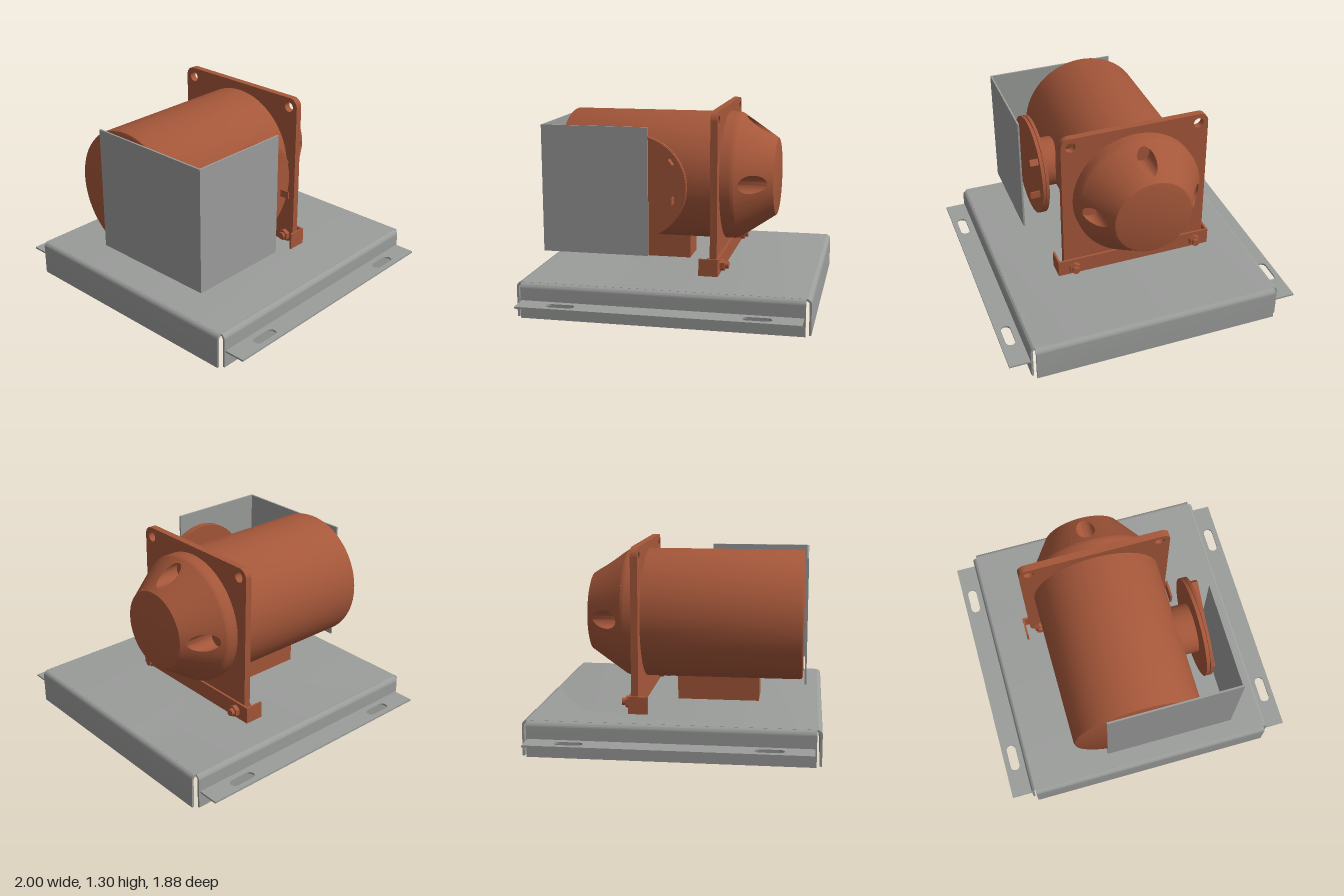
import * as THREE from 'three';
import { toCreasedNormals } from 'three/addons/utils/BufferGeometryUtils.js';

export function createModel() {
  const model = new THREE.Group();
  const steel = new THREE.MeshStandardMaterial({ color: 0x9b9d9b });
  steel.name = 'grey steel';
  const paint = new THREE.MeshStandardMaterial({ color: 0xa5573a });
  paint.name = 'rust paint';

  const add = (name, geo, mat, x = 0, y = 0, z = 0, parent = model) => {
    const m = new THREE.Mesh(geo, mat);
    m.name = name;
    m.position.set(x, y, z);
    parent.add(m);
    return m;
  };
  // Box given by its limits on each axis
  const slab = (name, mat, x0, x1, y0, y1, z0, z1) =>
    add(name, new THREE.BoxGeometry(x1 - x0, y1 - y0, z1 - z0), mat, (x0 + x1) / 2, (y0 + y1) / 2, (z0 + z1) / 2);
  const extrude = (shape, depth) =>
    toCreasedNormals(new THREE.ExtrudeGeometry(shape, { depth, bevelEnabled: false, curveSegments: 10 }), 0.5);
  const circleHole = (x, y, r) => new THREE.Path().absarc(x, y, r, 0, Math.PI * 2, true);

  // Base tray: two crossing folded sheets with open corner reliefs
  const foldedSheet = (w, length) => {
    const h = 0.232, R = 0.035, t = 0.014, r = R - t;
    const s = new THREE.Shape();
    s.moveTo(-w, 0);
    s.lineTo(-w + t, 0);
    s.lineTo(-w + t, h - R);
    s.absarc(-w + R, h - R, r, Math.PI, Math.PI / 2, true);
    s.lineTo(w - R, h - t);
    s.absarc(w - R, h - R, r, Math.PI / 2, 0, true);
    s.lineTo(w - t, 0);
    s.lineTo(w, 0);
    s.lineTo(w, h - R);
    s.absarc(w - R, h - R, R, 0, Math.PI / 2, false);
    s.lineTo(-w + R, h);
    s.absarc(-w + R, h - R, R, Math.PI / 2, Math.PI, false);
    return extrude(s, length).translate(0, 0, -length / 2);
  };
  add('traySides', foldedSheet(0.86, 1.81), steel);
  add('trayFrontAndBack', foldedSheet(0.938, 1.665).rotateY(Math.PI / 2), steel);

  // Slotted mounting flanges on both sides
  const flange = new THREE.Shape([[0.855, -0.896], [1, -0.896], [1, 0.896], [0.855, 0.896]].map(p => new THREE.Vector2(...p)));
  for (const z of [-0.62, 0.62]) {
    const slot = new THREE.Path();
    slot.absarc(0.932, z + 0.06, 0.032, 0, Math.PI, false);
    slot.absarc(0.932, z - 0.06, 0.032, Math.PI, Math.PI * 2, false);
    flange.holes.push(slot);
  }
  const flangeGeo = extrude(flange, 0.012).rotateX(Math.PI / 2);
  for (const turn of [0, Math.PI])
    add(turn ? 'rightFlange' : 'leftFlange', flangeGeo, steel, 0, 0.118, 0).rotation.y = turn;

  // Motor body: turned profile along z, with the cone left to separate pieces
  const motor = new THREE.Group();
  motor.name = 'motor';
  motor.position.set(-0.07, 0.808, 0);
  model.add(motor);
  const turned = (pts, segments, start = 0, length = Math.PI * 2) =>
    toCreasedNormals(new THREE.LatheGeometry(pts.map(p => new THREE.Vector2(...p)), segments, start, length), 0.65)
      .rotateX(Math.PI / 2);
  const coneIn = [0.27, -0.605], coneOut = [0.425, -0.375];
  add('backCap', turned([[0, -0.62], [0.25, -0.62], [0.263, -0.616], coneIn], 72), paint, 0, 0, 0, motor);
  add('barrel', turned([coneOut, [0.431, -0.362], [0.434, -0.345], [0.434, 0.79], [0.428, 0.804], [0.414, 0.81], [0, 0.81]], 72),
    paint, 0, 0, 0, motor);

  // Cone patch with a round counterbore sunk parallel to the axis
  const SPAN = 0.3;
  const coneZ = r => coneIn[1] + (r - coneIn[0]) * (coneOut[1] - coneIn[1]) / (coneOut[0] - coneIn[0]);
  const pocketPatch = () => {
    const n = 48, mid = (coneIn[0] + coneOut[0]) / 2, half = (coneOut[0] - coneIn[0]) / 2;
    const floor = -0.375, bore = 0.06, rows = 7, pos = [], idx = [];
    for (let j = 0; j < rows; j++) for (let i = 0; i <= n; i++) {
      const a = i / n * Math.PI * 2, c = Math.cos(a), s = Math.sin(a), k = Math.max(Math.abs(c), Math.abs(s));
      const rad = j === 0 ? 0 : bore;
      const hx = mid + rad * c, hy = rad * s;
      const t = Math.max(0, (j - 2) / (rows - 3));
      const r = THREE.MathUtils.lerp(Math.hypot(hx, hy), mid + half * c / k, t);
      const phi = THREE.MathUtils.lerp(Math.atan2(hy, hx), SPAN * s / k, t);
      pos.push(r * Math.sin(phi), -r * Math.cos(phi), j < 2 ? floor : coneZ(r));
      if (j < rows - 1 && i < n) {
        const p = j * (n + 1) + i, q = p + n + 1;
        idx.push(p, p + 1, q, p + 1, q + 1, q);
      }
    }
    const g = new THREE.BufferGeometry();
    g.setAttribute('position', new THREE.Float32BufferAttribute(pos, 3));
    g.setIndex(idx);
    return toCreasedNormals(g, 0.6);
  };
  const patch = pocketPatch();
  for (let k = 0; k < 4; k++) {
    const angle = k * Math.PI / 2;
    add('boltPocket', patch, paint, 0, 0, 0, motor).rotation.z = angle;
    add('coneSection', turned([coneIn, coneOut], 14, angle + SPAN, Math.PI / 2 - 2 * SPAN), paint, 0, 0, 0, motor);
  }

  // Square mounting plate with rounded corners and two open holes
  const x0 = -0.575, x1 = 0.435, y0 = 0.235, y1 = 1.296, cr = 0.06;
  const plate = new THREE.Shape();
  plate.absarc(x1 - cr, y1 - cr, cr, 0, Math.PI / 2, false);
  plate.absarc(x0 + cr, y1 - cr, cr, Math.PI / 2, Math.PI, false);
  plate.absarc(x0 + cr, y0 + cr, cr, Math.PI, Math.PI * 1.5, false);
  plate.absarc(x1 - cr, y0 + cr, cr, Math.PI * 1.5, Math.PI * 2, false);
  for (const x of [-0.508, 0.368]) plate.holes.push(circleHole(x, 1.232, 0.034));
  add('mountingPlate', extrude(plate, 0.046), paint, 0, 0, -0.285);

  // Channel bracket holding the plate, and its bolts
  slab('bracketWall', paint, -0.617, 0.479, 0.232, 0.345, -0.3, -0.285);
  slab('bracketEnd', paint, -0.617, -0.603, 0.232, 0.345, -0.3, -0.172);
  slab('bracketEnd', paint, 0.465, 0.479, 0.232, 0.345, -0.3, -0.172);
  const cyl = (r, h, n) => new THREE.CylinderGeometry(r, r, h, n).rotateX(Math.PI / 2);
  for (const x of [-0.51, 0.37]) {
    add('boltShaft', cyl(0.024, 0.165, 20), paint, x, 0.287, -0.272);
    const hex = toCreasedNormals(cyl(0.04, 0.03, 6), 0.3);
    add('frontNut', hex, paint, x, 0.287, -0.224);
    add('backNut', hex, paint, x, 0.287, -0.315);
  }

  // Foot block under the barrel
  slab('footBlock', paint, -0.185, 0.042, 0.232, 0.41, -0.03, 0.517);

  // Side outlet: neck, two discs, diagonal bar and small tab
  const oy = 0.808, oz = 0.243;
  const disc = (name, r, a, b) =>
    add(name, new THREE.CylinderGeometry(r, r, b - a, 64).rotateZ(Math.PI / 2), paint, (a + b) / 2, oy, oz);
  disc('outletNeck', 0.168, 0.2, 0.465);
  disc('innerDisc', 0.338, 0.46, 0.48);
  disc('discCore', 0.325, 0.478, 0.488);
  disc('outerDisc', 0.338, 0.486, 0.505);
  add('diagonalBar', new THREE.BoxGeometry(0.058, 0.045, 0.61), paint, 0.533, oy, oz).rotation.x = 0.62;
  slab('smallTab', paint, 0.5, 0.572, 0.708, 0.757, -0.017, -0.009);

  // Corner guard of two thin panels
  slab('guardFront', steel, -0.288, 0.596, 0.38, 1.21, 0.82, 0.832);
  slab('guardSide', steel, 0.584, 0.596, 0.38, 1.21, 0.132, 0.832);

  return model;
}
